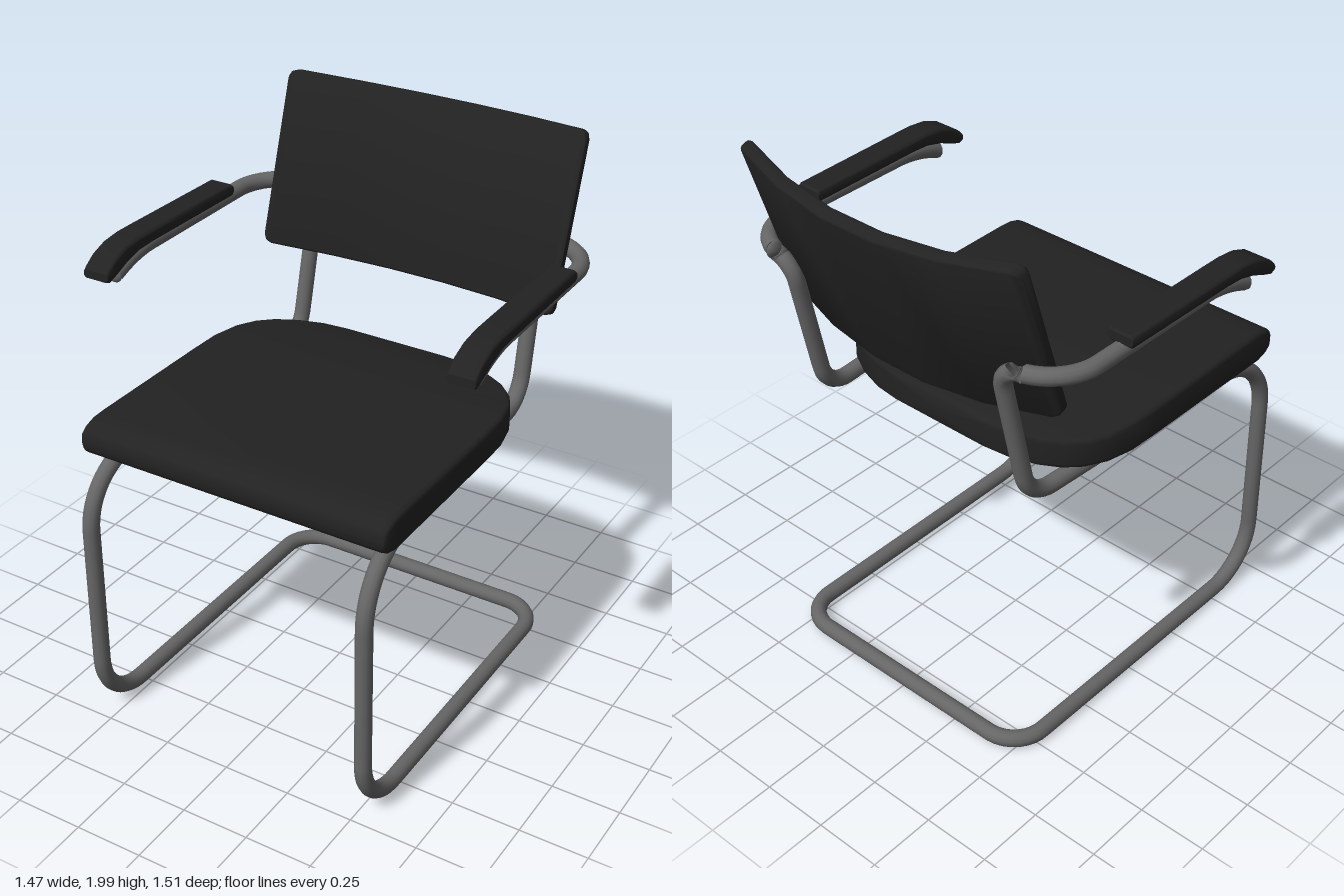
import * as THREE from 'three';
import { toCreasedNormals } from 'three/addons/utils/BufferGeometryUtils.js';

// Rounded rectangle, counter-clockwise, from (u0, v0) to (u1, v1)
function section(u0, u1, v0, v1, r) {
  const pts = [];
  const corners = [[u1 - r, v0 + r, -1], [u1 - r, v1 - r, 0], [u0 + r, v1 - r, 1], [u0 + r, v0 + r, 2]];
  for (const [cu, cv, q] of corners) {
    for (let i = 0; i <= 4; i++) {
      const a = (q + i / 4) * Math.PI / 2;
      pts.push([cu + r * Math.cos(a), cv + r * Math.sin(a)]);
    }
  }
  return pts;
}

// Skin a list of rings of [x, y, z] points and close both ends
function loft(rings) {
  const n = rings[0].length, last = (rings.length - 1) * n;
  const pos = rings.flat(2), index = [];
  for (const ring of [rings[0], rings[rings.length - 1]]) {
    for (let k = 0; k < 3; k++) pos.push(ring.reduce((s, p) => s + p[k], 0) / n);
  }
  const c0 = rings.length * n;
  for (let j = 0; j < n; j++) {
    const k = (j + 1) % n;
    for (let i = 0; i < last; i += n) {
      index.push(i + j, i + k, i + n + k, i + j, i + n + k, i + n + j);
    }
    index.push(c0, k, j, c0 + 1, last + j, last + k);
  }
  const geo = new THREE.BufferGeometry();
  geo.setAttribute('position', new THREE.Float32BufferAttribute(pos, 3));
  geo.setIndex(index);
  return toCreasedNormals(geo, 0.7);
}

// Path through points [x, y, z, bend] with rounded corners
function bentPath(points) {
  const path = new THREE.CurvePath();
  const v = points.map(p => new THREE.Vector3(p[0], p[1], p[2]));
  let from = v[0];
  for (let i = 1; i < v.length - 1; i++) {
    const toward = q => v[i].clone().add(q.clone().sub(v[i]).setLength(points[i][3]));
    const a = toward(v[i - 1]), b = toward(v[i + 1]);
    path.add(new THREE.LineCurve3(from, a));
    path.add(new THREE.CubicBezierCurve3(a, a.clone().lerp(v[i], 0.56), b.clone().lerp(v[i], 0.56), b));
    from = b;
  }
  path.add(new THREE.LineCurve3(from, v[v.length - 1]));
  return path;
}

export function createModel() {
  const chair = new THREE.Group();
  chair.name = 'cantileverChair';
  const upholstery = new THREE.MeshStandardMaterial({ color: 0x222222 });
  upholstery.name = 'black upholstery';
  const steel = new THREE.MeshStandardMaterial({ color: 0x666666 });
  steel.name = 'grey steel';
  const add = (name, geo, mat) => {
    const mesh = new THREE.Mesh(geo, mat);
    mesh.name = name;
    chair.add(mesh);
    return mesh;
  };

  // One continuous bent tube: left arm, seat rail, leg, floor loop, mirrored
  const half = [
    [0.68, 1.545, 0.335, 0],
    [0.677, 1.59, 0.22, 0.08],
    [0.67, 1.59, -0.565, 0.17],
    [0.45, 1.59, -0.585, 0.09],
    [0.46, 1.015, -0.46, 0.1],
    [0.535, 1.025, 0.73, 0.24],
    [0.535, 0.033, 0.73, 0.21],
    [0.53, 0.033, -0.592, 0.13],
  ];
  const mirrored = half.map(([x, y, z, r]) => [-x, y, z, r]).reverse();
  const path = bentPath([...half, ...mirrored]);
  add('tubeFrame', new THREE.TubeGeometry(path, 420, 0.03, 12, false), steel);

  // Seat cushion: [z, half width, bottom, top, edge radius] from back to front
  const seatRings = [
    [-0.393, 0.13, 1.065, 1.135, 0.02],
    [-0.385, 0.22, 1.05, 1.148, 0.02],
    [-0.37, 0.315, 1.046, 1.152, 0.02],
    [-0.34, 0.405, 1.045, 1.154, 0.02],
    [-0.3, 0.475, 1.045, 1.156, 0.02],
    [-0.25, 0.525, 1.045, 1.158, 0.02],
    [-0.18, 0.562, 1.045, 1.16, 0.02],
    [-0.08, 0.583, 1.044, 1.162, 0.02],
    [0.05, 0.585, 1.043, 1.164, 0.02],
    [0.56, 0.585, 1.04, 1.17, 0.02],
    [0.62, 0.585, 1.04, 1.168, 0.02],
    [0.66, 0.584, 1.05, 1.157, 0.02],
    [0.683, 0.582, 1.065, 1.142, 0.02],
    [0.69, 0.578, 1.08, 1.125, 0.02],
  ].map(([z, w, y0, y1, r]) => section(-w, w, y0, y1, r).map(([x, y]) => [x, y, z]));
  add('seatCushion', loft(seatRings), upholstery);

  // Backrest: curved panel skinned from left to right, then tilted
  const backRings = [0.584, 0.575, 0.555, 0.33, 0.11, -0.11, -0.33, -0.555, -0.575, -0.584].map(x => {
    const a = Math.abs(x);
    const inset = a > 0.58 ? 0.022 : a > 0.57 ? 0.008 : 0;
    const thin = inset * 0.5;
    const sag = -0.112 * (1 - (x / 0.584) ** 2);
    const h = 0.318 - inset;
    return section(sag - 0.052 + thin, sag - thin, -h, h, 0.013).map(([z, y]) => [x, y, z]);
  });
  const back = add('backrest', loft(backRings), upholstery);
  back.position.set(0, 1.697, -0.503);
  back.rotation.x = -0.312;

  // Arm pads: [z, bottom, top], bent down at the front
  const padProfile = [
    [-0.293, 1.618, 1.648], [-0.285, 1.61, 1.655], [0.18, 1.612, 1.66], [0.25, 1.608, 1.66],
    [0.32, 1.59, 1.652], [0.38, 1.565, 1.63], [0.415, 1.553, 1.605], [0.43, 1.56, 1.59],
  ];
  for (const [side, name] of [[1, 'leftArmPad'], [-1, 'rightArmPad']]) {
    const rings = padProfile.map(([z, y0, y1]) => {
      const cx = side * (0.672 + 0.012 * (z + 0.29) / 0.72);
      return section(cx - 0.05, cx + 0.05, y0, y1, 0.013).map(([x, y]) => [x, y, z]);
    });
    add(name, loft(rings), upholstery);
    // Rounded plug closing the tube end
    const plug = add('tubeEnd', new THREE.SphereGeometry(0.03, 12, 8), steel);
    plug.position.set(side * 0.68, 1.545, 0.335);
    plug.scale.z = 0.5;
  }
  return chair;
}
